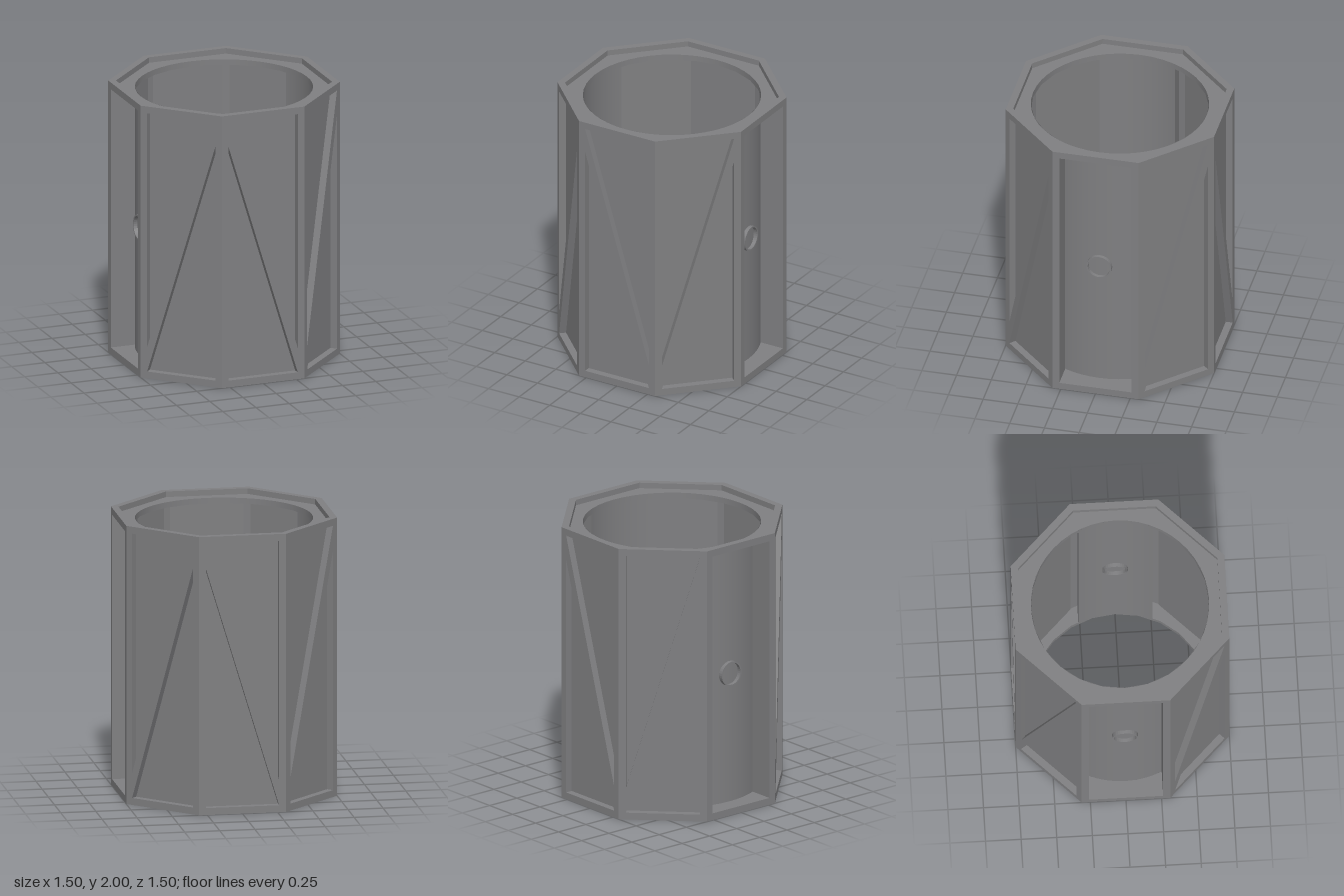
import * as THREE from 'three';

const grey = new THREE.MeshStandardMaterial({ color: 0x7f7f81, side: THREE.DoubleSide });
grey.name = 'grey';

const APOTHEM = 0.75, HALF = APOTHEM * Math.tan(Math.PI / 8), WALL = 0.05;
const INNER = APOTHEM - WALL, W = HALF - WALL, LOW = 0.05, HIGH = 1.95;
const BORE = 0.625;

function part(parent, name, geometry, x = 0, y = 0, z = 0) {
  const mesh = new THREE.Mesh(geometry, grey);
  mesh.name = name;
  mesh.position.set(x, y, z);
  parent.add(mesh);
  return mesh;
}

const path = (Type, pts) => new Type(pts.map(([x, y]) => new THREE.Vector2(x, y)));

// one side of the octagonal shell, with cut-outs
function frameGeometry(holes) {
  const shape = path(THREE.Shape, [[-HALF, 0], [HALF, 0], [HALF, 2], [-HALF, 2]]);
  shape.holes = holes.map(h => path(THREE.Path, h));
  return new THREE.ExtrudeGeometry(shape, { depth: WALL, bevelEnabled: false });
}

// two triangular cut-outs leave a diagonal brace; s = 1 falls to the right
const bracedHoles = s => [
  [[-W * s, HIGH], [W * s, HIGH], [W * s, 0.23]],
  [[-W * s, 1.77], [W * s, LOW], [-W * s, LOW]],
];

function bracedSide(group, s) {
  part(group, 'bracedFrame', frameGeometry(bracedHoles(s)), 0, 0, INNER);
  part(group, 'panel', new THREE.BoxGeometry(2 * W, HIGH - LOW, 0.004), 0, 1, INNER - 0.002);
}

function windowSide(group) {
  const hole = [[-W, LOW], [W, LOW], [W, HIGH], [-W, HIGH]];
  part(group, 'windowFrame', frameGeometry([hole]), 0, 0, INNER);

  // curved wall behind the opening
  const a = Math.asin(W / BORE), edge = BORE * Math.cos(a);
  part(group, 'curvedWall',
    new THREE.CylinderGeometry(BORE, BORE, HIGH - LOW, 8, 1, true, -a, 2 * a), 0, 1, 0);

  // cheeks joining the curved wall to the frame
  for (const s of [-1, 1]) {
    const cheek = part(group, 'cheek',
      new THREE.PlaneGeometry(INNER - edge, HIGH - LOW), s * W, 1, (INNER + edge) / 2);
    cheek.rotation.y = -s * Math.PI / 2;
  }

  // small round socket ring
  const profile = [[0.08, 0], [0.08, 0.05], [0.09, 0.05], [0.09, 0]]
    .map(([x, y]) => new THREE.Vector2(x, y));
  const ring = part(group, 'socketRing', new THREE.LatheGeometry(profile, 32), 0, 1, 0.6);
  ring.geometry = ring.geometry.toNonIndexed();
  ring.geometry.computeVertexNormals();
  ring.rotation.x = Math.PI / 2;
}

// octagonal end plate with a round bore
function endPlateGeometry() {
  const r = INNER / Math.cos(Math.PI / 8);
  const corners = [];
  for (let i = 0; i < 8; i++) {
    const t = (i + 0.5) * Math.PI / 4;
    corners.push([r * Math.cos(t), r * Math.sin(t)]);
  }
  const shape = path(THREE.Shape, corners);
  const bore = new THREE.Path();
  bore.absarc(0, 0, BORE, 0, Math.PI * 2, true);
  shape.holes.push(bore);
  const g = new THREE.ExtrudeGeometry(shape, { depth: 0.01, bevelEnabled: false, curveSegments: 24 });
  return g.rotateX(-Math.PI / 2);
}

export function createModel() {
  const model = new THREE.Group();
  model.name = 'octagonalHousing';

  for (let i = 0; i < 8; i++) {
    const side = new THREE.Group();
    side.name = 'side' + (i + 1);
    side.rotation.y = i * Math.PI / 4;
    if (i % 4 === 2) windowSide(side);
    else bracedSide(side, i % 2 ? -1 : 1);
    model.add(side);

    // narrow corner post inside the shell
    const corner = new THREE.Group();
    corner.name = 'corner' + (i + 1);
    corner.rotation.y = (i + 0.5) * Math.PI / 4;
    const half = Math.PI / 8 - Math.atan(W / INNER), r = Math.hypot(W, INNER);
    part(corner, 'cornerPost',
      new THREE.BoxGeometry(2 * r * Math.sin(half), HIGH - LOW, 0.02), 0, 1, r * Math.cos(half) + 0.01);
    model.add(corner);
  }

  // recessed end plates with short collars round the bore
  part(model, 'topPlate', endPlateGeometry(), 0, HIGH, 0);
  part(model, 'bottomPlate', endPlateGeometry(), 0, LOW - 0.01, 0);
  for (const y of [0.06, 1.94])
    part(model, 'boreCollar', new THREE.CylinderGeometry(BORE, BORE, 0.04, 24, 1, true), 0, y, 0);

  return model;
}
